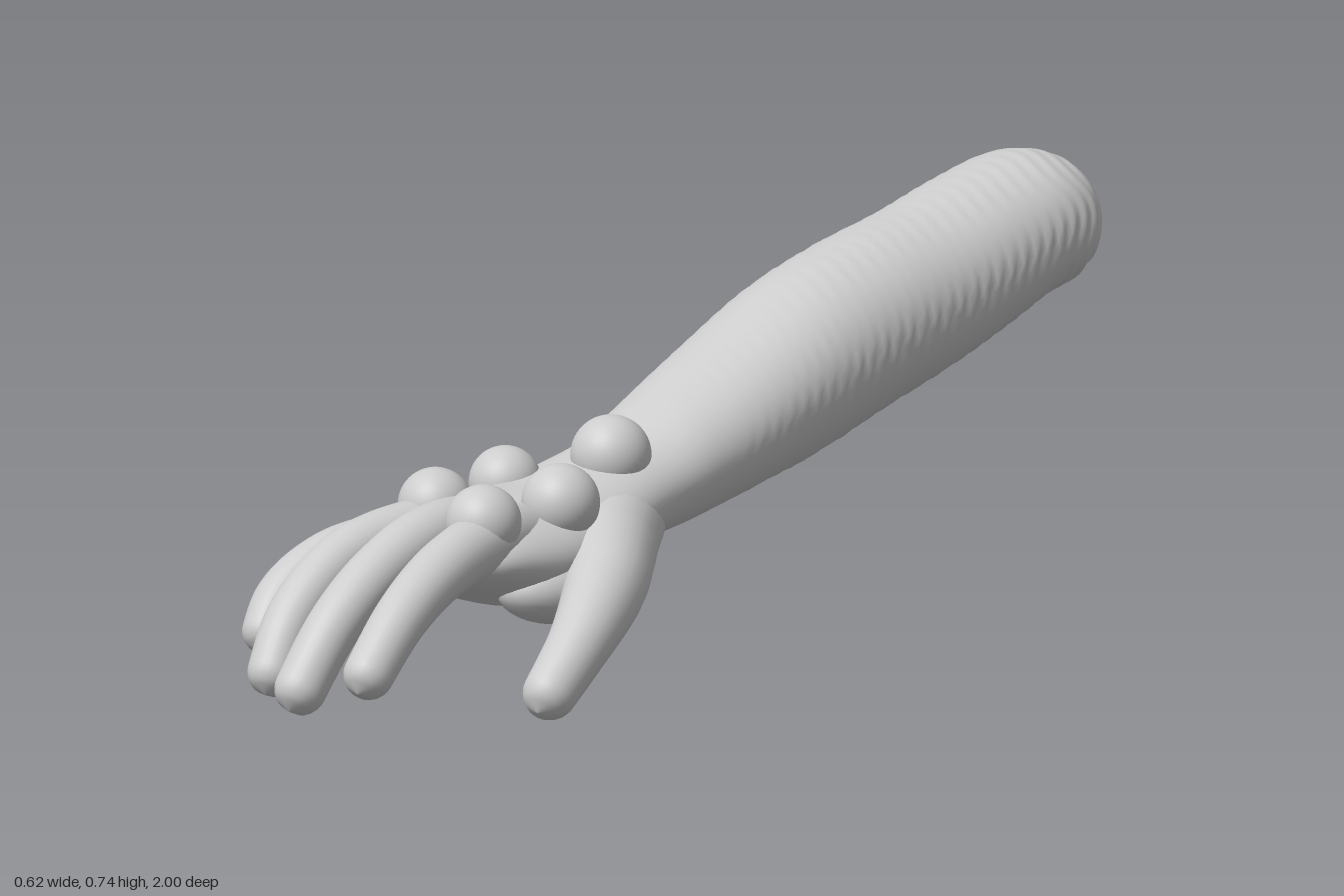
import * as THREE from 'three';
import { mergeVertices } from 'three/addons/utils/BufferGeometryUtils.js';

const V = (x, y, z) => new THREE.Vector3(x, y, z);
const skin = new THREE.MeshStandardMaterial({ color: 0xcccccc });
skin.name = 'grey skin';

// Weld the seams and give smooth normals
function smooth(geometry) {
  geometry.deleteAttribute('uv');
  geometry.deleteAttribute('normal');
  const welded = mergeVertices(geometry, 1e-5);
  welded.computeVertexNormals();
  return welded;
}

// Loft of upright oval slices, each [z, centre x, centre y, half width, half height]
function loftOvals(slices, rings, sides) {
  const spline = (pts) => new THREE.CatmullRomCurve3(pts, false, 'catmullrom', 0.5);
  const centres = spline(slices.map(([z, x, y]) => V(x, y, z)));
  const sizes = spline(slices.map(([, , , rx, ry]) => V(rx, ry, 0)));
  const pos = [];
  const index = [];
  for (let i = 0; i <= rings; i++) {
    const c = centres.getPoint(i / rings);
    const s = sizes.getPoint(i / rings);
    // faint ribs on the forearm skin, fading out at the wrist
    const rib = c.z < 0 && c.z > -0.95 ? 0.002 * Math.min(1, -c.z * 5) : 0;
    for (let j = 0; j < sides; j++) {
      const a = (j / sides) * Math.PI * 2;
      const k = 1 + (rib / 0.15) * Math.sin(c.z * 190 + 2 * Math.sin(a * 5)) * (1 - 0.5 * Math.sin(a));
      pos.push(c.x + Math.max(s.x, 0.001) * k * Math.cos(a), c.y + Math.max(s.y, 0.001) * k * Math.sin(a), c.z);
      if (i < rings) {
        const n = (j + 1) % sides;
        const p = i * sides;
        const q = p + sides;
        index.push(p + j, p + n, q + j, p + n, q + n, q + j);
      }
    }
  }
  const g = new THREE.BufferGeometry();
  g.setAttribute('position', new THREE.Float32BufferAttribute(pos, 3));
  g.setIndex(index);
  g.computeVertexNormals();
  return g;
}

// Tapered tube with a rounded tip; radii are spread evenly along the path
function finger(points, radii) {
  const curve = new THREE.CatmullRomCurve3(points.map((p) => V(...p)));
  const segs = 72;
  const sides = 24;
  const g = new THREE.TubeGeometry(curve, segs, 1, sides, false);
  const pos = g.attributes.position;
  const length = curve.getLength();
  const tip = radii[radii.length - 1];
  const v = V(0, 0, 0);
  for (let i = 0; i <= segs; i++) {
    const t = i / segs;
    const c = curve.getPointAt(t);
    const f = t * (radii.length - 1);
    const n = Math.min(Math.floor(f), radii.length - 2);
    let r = THREE.MathUtils.lerp(radii[n], radii[n + 1], f - n);
    const u = 1 - ((1 - t) * length) / tip;
    if (u > 0) r *= Math.sqrt(Math.max(1 - u * u, 0.0004));
    for (let j = 0; j <= sides; j++) {
      const k = i * (sides + 1) + j;
      v.fromBufferAttribute(pos, k).sub(c).multiplyScalar(r).add(c);
      pos.setXYZ(k, v.x, v.y, v.z);
    }
  }
  return smooth(g);
}

export function createModel() {
  const model = new THREE.Group();
  model.name = 'arm';
  const add = (name, geometry) => {
    const mesh = new THREE.Mesh(geometry, skin);
    mesh.name = name;
    model.add(mesh);
    return mesh;
  };

  // Forearm, wrist and palm in one skin, from the rounded end to the knuckles
  add('forearmAndPalm', loftOvals([
    [-1.0, -0.02, 0.612, 0, 0],
    [-0.993, -0.02, 0.612, 0.065, 0.055],
    [-0.97, -0.02, 0.612, 0.112, 0.092],
    [-0.93, -0.02, 0.607, 0.14, 0.118],
    [-0.86, -0.02, 0.602, 0.152, 0.128],
    [-0.74, -0.02, 0.567, 0.157, 0.139],
    [-0.6, -0.02, 0.525, 0.16, 0.145],
    [-0.44, -0.02, 0.486, 0.161, 0.152],
    [-0.28, -0.02, 0.438, 0.16, 0.153],
    [-0.1, -0.022, 0.374, 0.153, 0.131],
    [0.04, -0.023, 0.325, 0.14, 0.112],
    [0.14, -0.022, 0.292, 0.134, 0.094],
    [0.25, -0.022, 0.263, 0.15, 0.092],
    [0.35, -0.025, 0.235, 0.172, 0.098],
    [0.45, -0.035, 0.228, 0.188, 0.098],
    [0.55, -0.045, 0.237, 0.186, 0.08],
    [0.61, -0.045, 0.24, 0.165, 0.062],
    [0.65, -0.04, 0.24, 0.12, 0.04],
    [0.665, -0.04, 0.24, 0, 0],
  ], 220, 56));

  // Fingers curling down toward the front, and the thumb on the left side
  const digits = {
    littleFinger: [[[-0.11, 0.245, 0.36], [-0.185, 0.235, 0.52], [-0.243, 0.213, 0.64], [-0.267, 0.155, 0.74], [-0.255, 0.07, 0.81]],
      [0.07, 0.058, 0.049, 0.045, 0.04]],
    ringFinger: [[[-0.08, 0.255, 0.42], [-0.125, 0.262, 0.58], [-0.148, 0.235, 0.71], [-0.15, 0.15, 0.84], [-0.133, 0.03, 0.93]],
      [0.06, 0.055, 0.049, 0.046, 0.042]],
    middleFinger: [[[-0.025, 0.26, 0.42], [-0.028, 0.28, 0.6], [-0.025, 0.243, 0.74], [-0.024, 0.16, 0.87], [-0.028, 0.022, 0.985]],
      [0.06, 0.055, 0.05, 0.047, 0.045]],
    indexFinger: [[[0.03, 0.255, 0.42], [0.066, 0.272, 0.58], [0.09, 0.247, 0.72], [0.11, 0.185, 0.85], [0.126, 0.072, 0.98]],
      [0.06, 0.056, 0.052, 0.047, 0.043]],
    thumb: [[[0.03, 0.25, 0.2], [0.105, 0.225, 0.31], [0.185, 0.185, 0.41], [0.241, 0.12, 0.53], [0.265, 0.012, 0.672]],
      [0.08, 0.083, 0.07, 0.054, 0.044]],
  };
  for (const [name, [points, radii]] of Object.entries(digits)) add(name, finger(points, radii));

  // Fleshy pad under the thumb
  const pad = add('thumbPad', new THREE.SphereGeometry(1, 32, 20));
  pad.scale.set(0.09, 0.07, 0.15);
  pad.position.set(0.085, 0.178, 0.4);

  // Round domes on the back of the hand: [x, y, z, radius]
  [[0.01, 0.361, 0.2, 0.07], [-0.122, 0.315, 0.325, 0.063], [0.078, 0.317, 0.405, 0.068],
    [-0.117, 0.303, 0.51, 0.065], [0.063, 0.307, 0.587, 0.066]].forEach(([x, y, z, r], i) => {
    add(`dome${i + 1}`, new THREE.SphereGeometry(r, 40, 28)).position.set(x, y, z);
  });
  return model;
}
